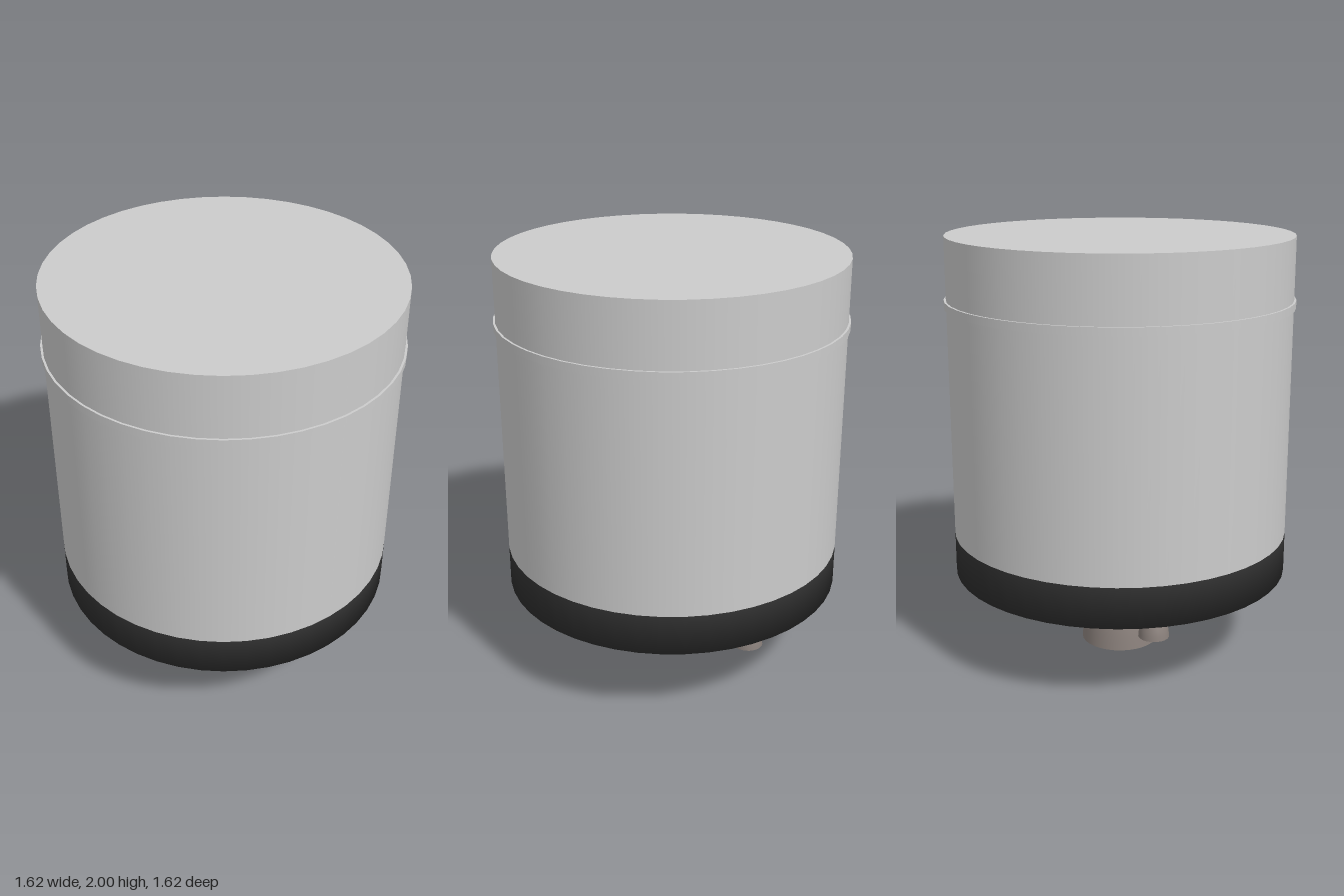
import * as THREE from 'three';

const SEGMENTS = 48;

const material = (color, side = THREE.FrontSide) => new THREE.MeshStandardMaterial({ color, side });

function addMesh(parent, name, geometry, mat) {
  const mesh = new THREE.Mesh(geometry, mat);
  mesh.name = name;
  parent.add(mesh);
  return mesh;
}

// Revolves [radius, height] pairs, listed from the bottom up
const lathe = (pairs, segments = SEGMENTS) =>
  new THREE.LatheGeometry(pairs.map(([r, y]) => new THREE.Vector2(r, y)), segments);

// Smooth bell: a spline through a few points, revolved
function bell(pairs, segments) {
  const curve = new THREE.SplineCurve(pairs.map(([r, y]) => new THREE.Vector2(r, y)));
  return new THREE.LatheGeometry(curve.getPoints(14), segments);
}

export function createModel() {
  const model = new THREE.Group();
  model.name = 'propulsionModule';

  const hull = material(0xcccccc);
  const dark = material(0x333333);
  const metal = material(0x8c827d, THREE.DoubleSide);

  // Main tank with a flat top
  const tank = addMesh(model, 'tankBody', new THREE.CylinderGeometry(0.8, 0.8, 1.41, SEGMENTS), hull);
  tank.position.y = 1.295;

  // Thin raised band near the top
  addMesh(model, 'bandRing', new THREE.CylinderGeometry(0.81, 0.81, 0.036, SEGMENTS), hull)
    .position.y = 1.692;

  // Dark base, its underside a shallow hollow cone shaded smoothly into the rim
  addMesh(model, 'heatShieldBase', lathe([[0, 0.5], [0.8, 0.4], [0.8, 0.59]]), dark);

  // Large central nozzle, open at the bottom
  const mainBell = bell([[0.187, 0], [0.178, 0.1], [0.16, 0.2], [0.134, 0.3], [0.1, 0.4], [0.055, 0.5]], 32);
  addMesh(model, 'mainNozzle', mainBell, metal);

  // Four small nozzles on the diagonals
  const smallBell = bell([[0.069, 0.28], [0.066, 0.31], [0.06, 0.34], [0.052, 0.37], [0.042, 0.4], [0.028, 0.435]], 24);
  for (const x of [-0.442, 0.442]) {
    for (const z of [-0.442, 0.442]) {
      const name = (z > 0 ? 'front' : 'back') + (x > 0 ? 'Left' : 'Right') + 'SmallNozzle';
      addMesh(model, name, smallBell, metal).position.set(x, 0, z);
    }
  }

  return model;
}
